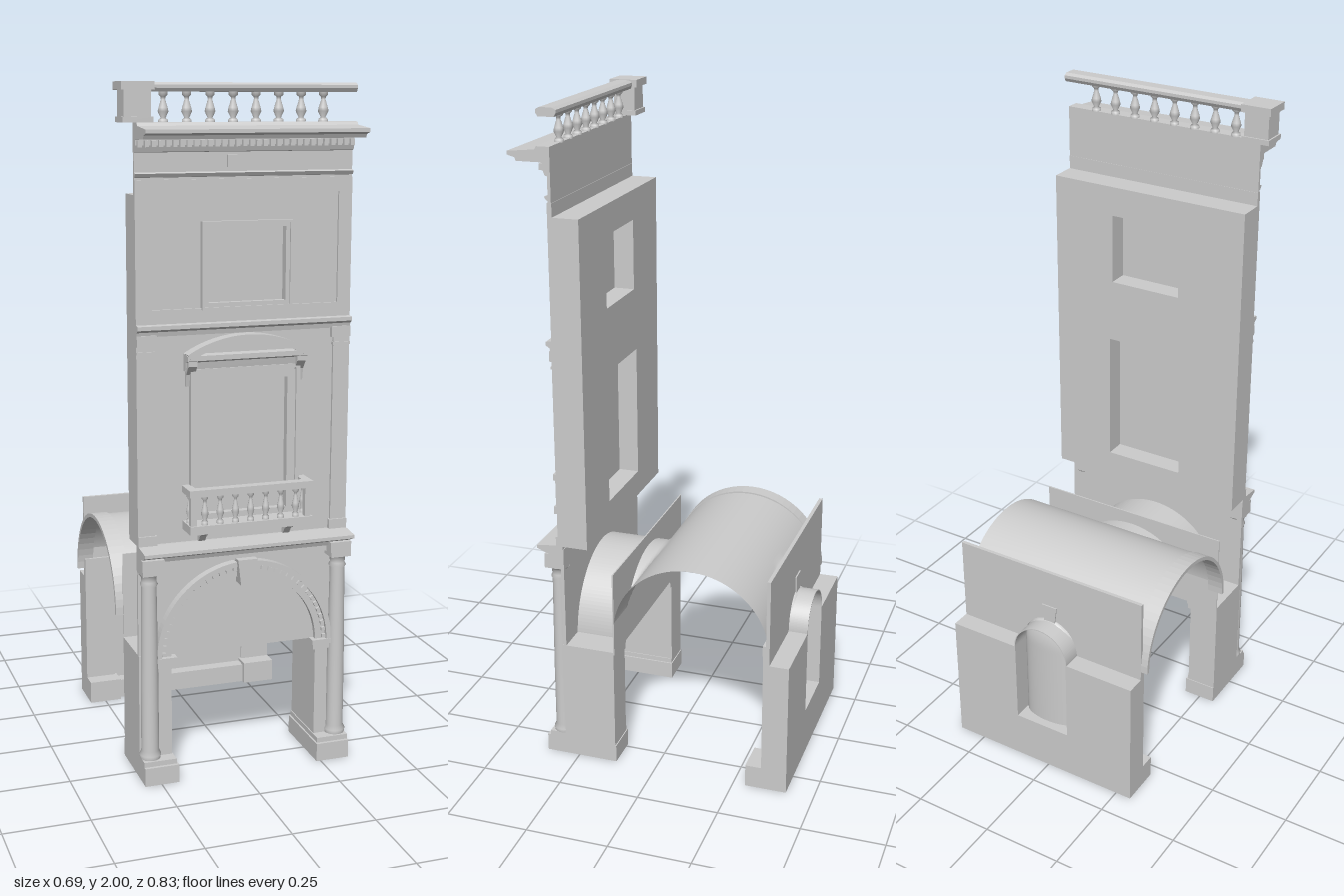
import * as THREE from 'three';

const X0 = -0.3, X1 = 0.34, CX = 0.02; // bay edges and centre line

export function createModel() {
  const root = new THREE.Group();
  const mat = new THREE.MeshStandardMaterial({ color: 0xcccccc, side: THREE.DoubleSide });
  const add = (name, geo) => {
    const m = new THREE.Mesh(geo, mat);
    m.name = name;
    root.add(m);
    return m;
  };
  const box = (name, x0, x1, y0, y1, z0, z1) =>
    add(name, new THREE.BoxGeometry(x1 - x0, y1 - y0, z1 - z0)
      .translate((x0 + x1) / 2, (y0 + y1) / 2, (z0 + z1) / 2));
  // shape in x/y, given thickness from z0 to z1
  const slab = (name, shape, z0, z1) =>
    add(name, new THREE.ExtrudeGeometry(shape, { depth: z1 - z0, bevelEnabled: false, curveSegments: 32 })
      .translate(0, 0, z0));
  // profile of [z, y] points swept along x
  const moulding = (name, pts, x0 = X0, x1 = X1) =>
    add(name, new THREE.ExtrudeGeometry(new THREE.Shape(pts.map(p => new THREE.Vector2(...p))),
      { depth: x1 - x0, bevelEnabled: false }).rotateY(-Math.PI / 2).translate(x1, 0, 0));
  const rect = (x0, x1, y0, y1, C = THREE.Shape) =>
    new C([[x0, y0], [x1, y0], [x1, y1], [x0, y1]].map(p => new THREE.Vector2(...p)));
  const frame = (name, o, w, z0, z1) => {
    const s = rect(...o);
    s.holes.push(rect(o[0] + w, o[1] - w, o[2] + w, o[3] - w, THREE.Path));
    return slab(name, s, z0, z1);
  };
  // round-headed band with optional straight legs down to base
  const archBand = (cx, spring, ro, ri, base) => {
    const s = new THREE.Shape();
    s.moveTo(cx - ro, base);
    s.lineTo(cx - ro, spring);
    s.absarc(cx, spring, ro, Math.PI, 0, true);
    s.lineTo(cx + ro, base);
    s.lineTo(cx + ri, base);
    s.lineTo(cx + ri, spring);
    s.absarc(cx, spring, ri, 0, Math.PI, false);
    s.lineTo(cx - ri, base);
    return s;
  };
  const keystone = (name, y0, y1, w, z0, z1) => slab(name, new THREE.Shape(
    [[-w * 0.7, y0], [w * 0.7, y0], [w, y1], [-w, y1]].map(p => new THREE.Vector2(CX + p[0], p[1]))), z0, z1);
  const baluster = (name, x, y, z, h, r) => {
    const pts = [[0.9, 0], [0.9, 0.1], [0.45, 0.16], [1, 0.36], [0.85, 0.48], [0.4, 0.74], [0.45, 0.82], [0.85, 0.88], [0.85, 1]];
    add(name, new THREE.LatheGeometry(pts.map(p => new THREE.Vector2(p[0] * r, p[1] * h)), 12).translate(x, y, z));
  };
  // calls fn with a function that gives mirrored x ranges
  const bothSides = fn => [1, -1].forEach(s => fn((a, b) => s > 0 ? [CX + a, CX + b] : [CX - b, CX - a], s));

  // ---- ground floor: piers, columns and the front arch
  bothSides((r, s) => {
    box('pier', ...r(0.225, 0.32), 0.06, 0.38, 0.13, 0.295);
    box('pierBase', ...r(0.217, 0.32), 0, 0.055, 0.127, 0.355);
    box('pierBaseStep', ...r(0.222, 0.32), 0.055, 0.07, 0.13, 0.345);
    box('archPilaster', ...r(0.225, 0.265), 0.07, 0.345, 0.29, 0.308);
    box('impost', ...r(0.215, 0.268), 0.343, 0.36, 0.13, 0.316);
    box('impostCap', ...r(0.211, 0.272), 0.36, 0.374, 0.13, 0.322);
    const col = [[0.03, 0.07], [0.032, 0.082], [0.026, 0.095], [0.0255, 0.3], [0.022, 0.595],
      [0.026, 0.602], [0.022, 0.61], [0.023, 0.625], [0.031, 0.635]];
    add('column', new THREE.LatheGeometry(col.map(p => new THREE.Vector2(...p)), 24).translate(CX + s * 0.292, 0, 0.309));
    box('columnAbacus', ...r(0.258, 0.32), 0.634, 0.65, 0.285, 0.345);
  });
  const spandrel = rect(X0, X1, 0.372, 0.7);
  const cutArch = (s, y, r) => s.setFromPoints([
    new THREE.Vector2(X0, y), new THREE.Vector2(CX - r, y),
    ...Array.from({ length: 31 }, (_, i) => {
      const a = Math.PI * (1 - (i + 1) / 32);
      return new THREE.Vector2(CX + r * Math.cos(a), y + r * Math.sin(a));
    }),
    new THREE.Vector2(CX + r, y), new THREE.Vector2(X1, y),
    ...s.getPoints().filter(p => p.y > y + 0.1)]);
  slab('frontSpandrel', cutArch(spandrel, 0.372, 0.225), 0.283, 0.293);
  slab('rearSpandrel', cutArch(rect(X0, X1, 0.372, 0.64), 0.372, 0.225), 0.127, 0.131);
  slab('archTunnel', archBand(CX, 0.372, 0.229, 0.225, 0.372), 0.13, 0.29);
  slab('archivolt', archBand(CX, 0.372, 0.262, 0.225, 0.372), 0.29, 0.308);
  slab('archivoltRim', archBand(CX, 0.372, 0.272, 0.257, 0.372), 0.29, 0.32);
  for (let i = 0; i < 36; i++) {
    const a = Math.PI * (i + 0.5) / 36;
    const d = add('archDentil', new THREE.BoxGeometry(0.011, 0.011, 0.008));
    d.position.set(CX + 0.25 * Math.cos(a), 0.372 + 0.25 * Math.sin(a), 0.312);
    d.rotation.z = a;
  }
  keystone('archKeystone', 0.575, 0.652, 0.03, 0.285, 0.335);
  moulding('lowerEntablature', [[0.285, 0.648], [0.312, 0.648], [0.312, 0.665], [0.325, 0.668], [0.33, 0.68],
    [0.355, 0.69], [0.368, 0.695], [0.368, 0.705], [0.3, 0.712], [0.285, 0.712]]);
  bothSides(r => box('entablatureBreak', ...r(0.255, 0.32), 0.65, 0.68, 0.29, 0.345));

  // ---- passage vault: barrel along x crossed by lunettes of the front arch
  const vault = new THREE.PlaneGeometry(1, 1, 64, 48);
  const vp = vault.attributes.position;
  for (let i = 0; i < vp.count; i++) {
    const x = CX + vp.getX(i) * 0.64, t = (vp.getY(i) + 0.5) * Math.PI;
    const lunette = 0.372 + Math.sqrt(Math.max(0, 0.228 ** 2 - (x - CX) ** 2));
    vp.setXYZ(i, x, Math.max(0.45 + 0.237 * Math.sin(t), lunette), -0.113 + 0.242 * Math.cos(t));
  }
  vault.computeVertexNormals();
  add('vault', vault);
  const arc = (rz, ry) => Array.from({ length: 33 }, (_, i) => {
    const t = Math.PI * i / 32;
    return [-0.113 + rz * Math.cos(t), 0.45 + ry * Math.sin(t)];
  });
  moulding('vaultRib', [...arc(0.243, 0.242), ...arc(0.232, 0.23).reverse()], -0.322, -0.272);

  // ---- rear wall with a round-headed niche
  const nr = 0.092, ns = 0.43;
  const rear = rect(X0, X1, 0, 0.69);
  const hole = new THREE.Path();
  hole.moveTo(CX - nr, 0.15);
  hole.lineTo(CX + nr, 0.15);
  hole.lineTo(CX + nr, ns);
  hole.absarc(CX, ns, nr, 0, Math.PI, false);
  rear.holes.push(hole);
  slab('rearPanel', rear, -0.356, -0.345);
  slab('rearWall', new THREE.Shape([[X0, 0], [X1, 0], [X1, 0.42], [CX + nr, 0.42], [CX + nr, 0.15],
    [CX - nr, 0.15], [CX - nr, 0.42], [X0, 0.42]].map(p => new THREE.Vector2(...p))), -0.415, -0.35);
  slab('nicheVault', archBand(CX, 0.42, nr + 0.003, nr, 0.42), -0.415, -0.35);
  const niche = new THREE.PlaneGeometry(2, 1, 24, 32);
  const np = niche.attributes.position;
  for (let i = 0; i < np.count; i++) {
    const u = np.getX(i), y = 0.15 + (np.getY(i) + 0.5) * (ns + nr - 0.15);
    const w = Math.sqrt(Math.max(0, nr * nr - Math.max(0, y - ns) ** 2));
    np.setXYZ(i, CX + u * w, y, -0.35 - 0.42 * w * Math.sqrt(Math.max(0, 1 - u * u)));
  }
  niche.computeVertexNormals();
  add('nicheRecess', niche);
  slab('nicheFrame', archBand(CX, ns, 0.118, nr, 0.15), -0.347, -0.337);
  slab('nicheFrameRim', archBand(CX, ns, 0.126, 0.114, 0.15), -0.347, -0.331);
  box('nicheSill', CX - 0.13, CX + 0.13, 0.136, 0.152, -0.35, -0.328);
  keystone('nicheKeystone', 0.51, 0.57, 0.026, -0.36, -0.322);
  bothSides(r => {
    box('rearImpost', ...r(0.126, 0.32), 0.45, 0.482, -0.347, -0.335);
    box('rearPier', ...r(0.225, 0.32), 0.07, 0.45, -0.347, -0.337);
    box('rearPlinthEnd', ...r(0.218, 0.32), 0, 0.07, -0.35, -0.288);
  });
  box('rearPlinth', X0, X1, 0, 0.06, -0.35, -0.305);

  // ---- upper wall with two window openings
  const wall = rect(X0, X1, 0.71, 1.7);
  wall.holes.push(rect(-0.105, 0.15, 0.79, 1.2, THREE.Path), rect(-0.09, 0.14, 1.395, 1.61, THREE.Path));
  slab('upperWall', wall, 0.207, 0.292);
  box('lowerWindowPane', -0.11, 0.155, 0.785, 1.205, 0.27, 0.275);
  box('upperWindowPane', -0.095, 0.145, 1.39, 1.615, 0.27, 0.275);
  bothSides(r => {
    box('wallPilaster', ...r(0.27, 0.32), 0.71, 1.29, 0.29, 0.3);
    box('pilasterFoot', ...r(0.265, 0.32), 0.71, 0.74, 0.29, 0.306);
    box('pilasterNeck', ...r(0.267, 0.32), 1.262, 1.27, 0.29, 0.304);
    box('pilasterCap', ...r(0.262, 0.32), 1.285, 1.316, 0.29, 0.307);
  });
  moulding('stringCourse', [[0.285, 1.312], [0.302, 1.312], [0.305, 1.325], [0.316, 1.332], [0.316, 1.343], [0.285, 1.347]]);

  // main window, its curved hood and balcony
  frame('windowFrame', [-0.14, 0.18, 0.76, 1.21], 0.032, 0.285, 0.303);
  frame('windowFrameRim', [-0.145, 0.185, 0.755, 1.215], 0.012, 0.285, 0.31);
  moulding('hoodCornice', [[0.285, 1.21], [0.305, 1.21], [0.31, 1.235], [0.33, 1.242], [0.33, 1.256], [0.285, 1.26]], -0.16, 0.2);
  const hoodArc = (r, a0, a1, cw, s) => s.absarc(CX, 0.961, r, a0, a1, cw);
  const A = Math.PI / 2 - 0.542, B = Math.PI / 2 + 0.542;
  const hood = new THREE.Shape();
  hoodArc(0.349, A, B, false, hood);
  hoodArc(0.329, B, A, true, hood);
  slab('hoodArch', hood, 0.285, 0.332);
  const infill = new THREE.Shape();
  hoodArc(0.335, A, B, false, infill);
  slab('hoodInfill', infill, 0.285, 0.303);
  bothSides(r => {
    moulding('hoodBracket', [[0.285, 1.165], [0.297, 1.165], [0.303, 1.2], [0.322, 1.225], [0.322, 1.243], [0.285, 1.243]], ...r(0.15, 0.176));
    moulding('balconyBracket', [[0.285, 0.71], [0.3, 0.71], [0.315, 0.73], [0.345, 0.745], [0.345, 0.755], [0.285, 0.755]], ...r(0.12, 0.14));
    box('balconyPost', ...r(0.164, 0.182), 0.77, 0.865, 0.342, 0.362);
    box('balconySideRail', ...r(0.162, 0.187), 0.86, 0.88, 0.29, 0.367);
    baluster('balconySideBaluster', CX + (r(0.173, 0.173)[0] - CX), 0.775, 0.318, 0.087, 0.009);
  });
  box('balconyFloor', -0.165, 0.207, 0.75, 0.775, 0.285, 0.367);
  box('balconyRail', -0.167, 0.207, 0.86, 0.88, 0.338, 0.367);
  for (let i = 0; i < 7; i++) baluster('balconyBaluster', CX + (i - 3) * 0.046, 0.775, 0.352, 0.087, 0.011);

  // attic storey: raised border and small window
  frame('atticBorder', [X0, X1, 1.345, 1.74], 0.04, 0.285, 0.299);
  frame('atticWindowFrame', [-0.107, 0.155, 1.383, 1.622], 0.016, 0.285, 0.303);
  frame('atticWindowRim', [-0.11, 0.158, 1.38, 1.625], 0.007, 0.285, 0.308);

  // ---- crowning cornice
  box('frieze', X0, X1, 1.69, 1.88, 0.286, 0.295);
  moulding('friezeMoulding', [[0.29, 1.745], [0.3, 1.747], [0.306, 1.757], [0.29, 1.762]]);
  box('friezePlate', -0.035, 0.073, 1.772, 1.806, 0.29, 0.306);
  moulding('corniceBed', [[0.29, 1.812], [0.302, 1.815], [0.308, 1.832], [0.308, 1.848], [0.33, 1.855], [0.29, 1.86]]);
  for (let i = 0; i < 32; i++) box('dentil', X0 + i * 0.02 + 0.004, X0 + i * 0.02 + 0.016, 1.828, 1.846, 0.3, 0.32);
  moulding('cornice', [[0.286, 1.85], [0.385, 1.85], [0.39, 1.86], [0.412, 1.866], [0.412, 1.876], [0.33, 1.884], [0.325, 1.893], [0.286, 1.893]]);

  // ---- roof balustrade
  box('balustradePost', -0.335, -0.26, 1.905, 1.98, 0.26, 0.326);
  box('balustradePostFoot', -0.34, -0.255, 1.893, 1.908, 0.255, 0.331);
  box('balustradePostCap', -0.344, -0.252, 1.978, 2, 0.25, 0.336);
  moulding('balustradeRail', [[0.27, 1.973], [0.317, 1.973], [0.323, 1.983], [0.323, 1.992], [0.312, 1.998], [0.275, 1.998], [0.264, 1.992], [0.264, 1.983]], -0.256, X1);
  for (let i = 0; i < 8; i++) baluster('balustradeBaluster', -0.217 + i * 0.0665, 1.891, 0.295, 0.084, 0.015);

  return root;
}
